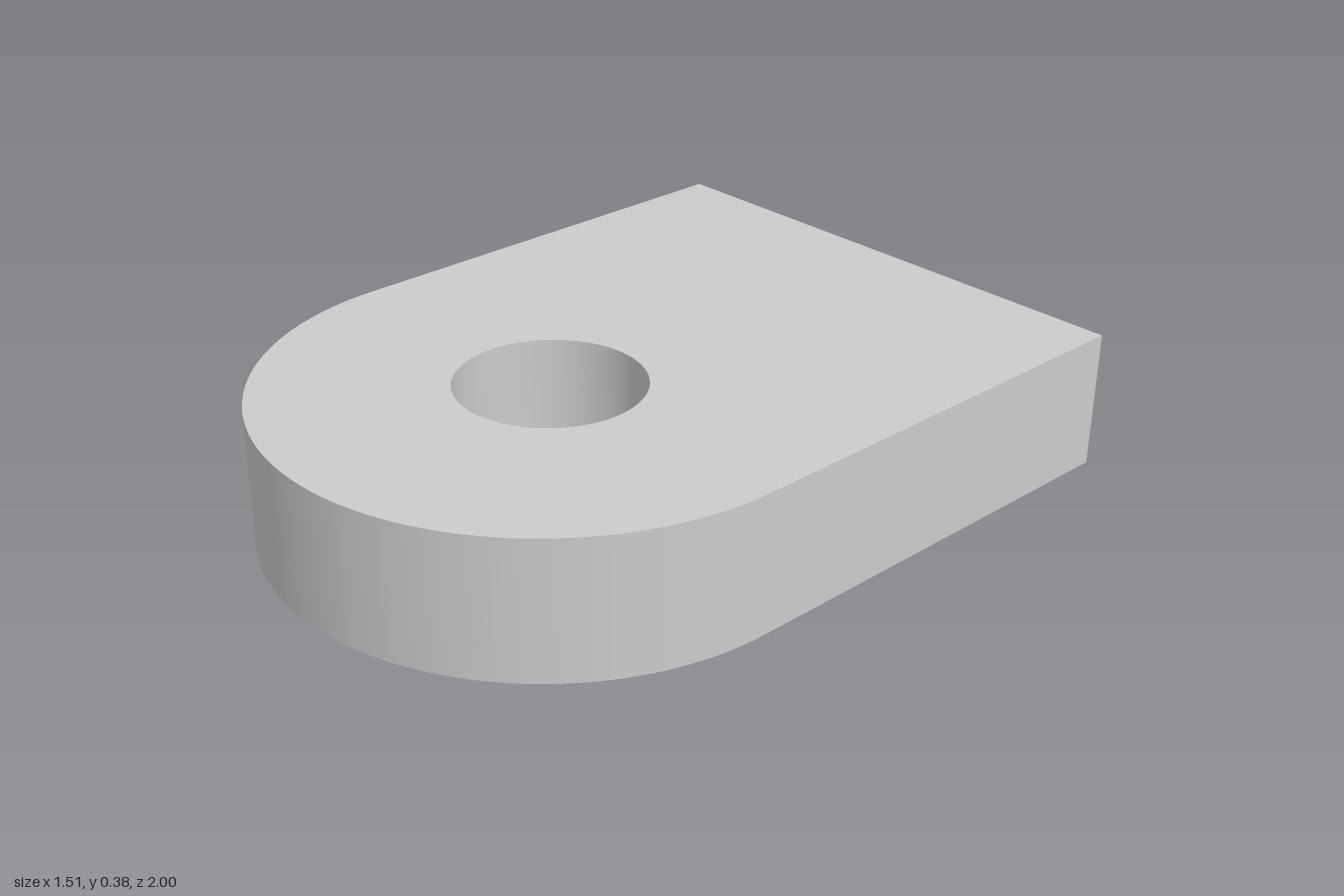
import * as THREE from 'three';
import { toCreasedNormals } from 'three/addons/utils/BufferGeometryUtils.js';

const RADIUS = 0.755; // half width and radius of the rounded front
const HOLE_RADIUS = 0.247;
const HEIGHT = 0.377;
const CENTRE_Z = 1 - RADIUS; // shared centre of the rounded end and the hole

export function createModel() {
  const group = new THREE.Group();
  group.name = 'mountingLug';

  // Outline seen from above, with shape y pointing to the back (-z)
  const outline = new THREE.Shape();
  outline.moveTo(RADIUS, 1);
  outline.lineTo(-RADIUS, 1);
  outline.lineTo(-RADIUS, -CENTRE_Z);
  outline.absarc(0, -CENTRE_Z, RADIUS, Math.PI, 2 * Math.PI, false);
  outline.closePath();

  // Round through hole, concentric with the rounded end
  const hole = new THREE.Path();
  hole.absarc(0, -CENTRE_Z, HOLE_RADIUS, 0, 2 * Math.PI, true);
  outline.holes.push(hole);

  // Extrude upwards, smooth on the curved walls and sharp at the edges
  const extruded = new THREE.ExtrudeGeometry(outline, {
    depth: HEIGHT,
    bevelEnabled: false,
    curveSegments: 48,
  });
  extruded.rotateX(-Math.PI / 2);
  const geometry = toCreasedNormals(extruded, Math.PI / 6);

  const plate = new THREE.Mesh(geometry, new THREE.MeshStandardMaterial({ color: 0xcccccc }));
  plate.name = 'roundedPlate';
  group.add(plate);
  return group;
}
